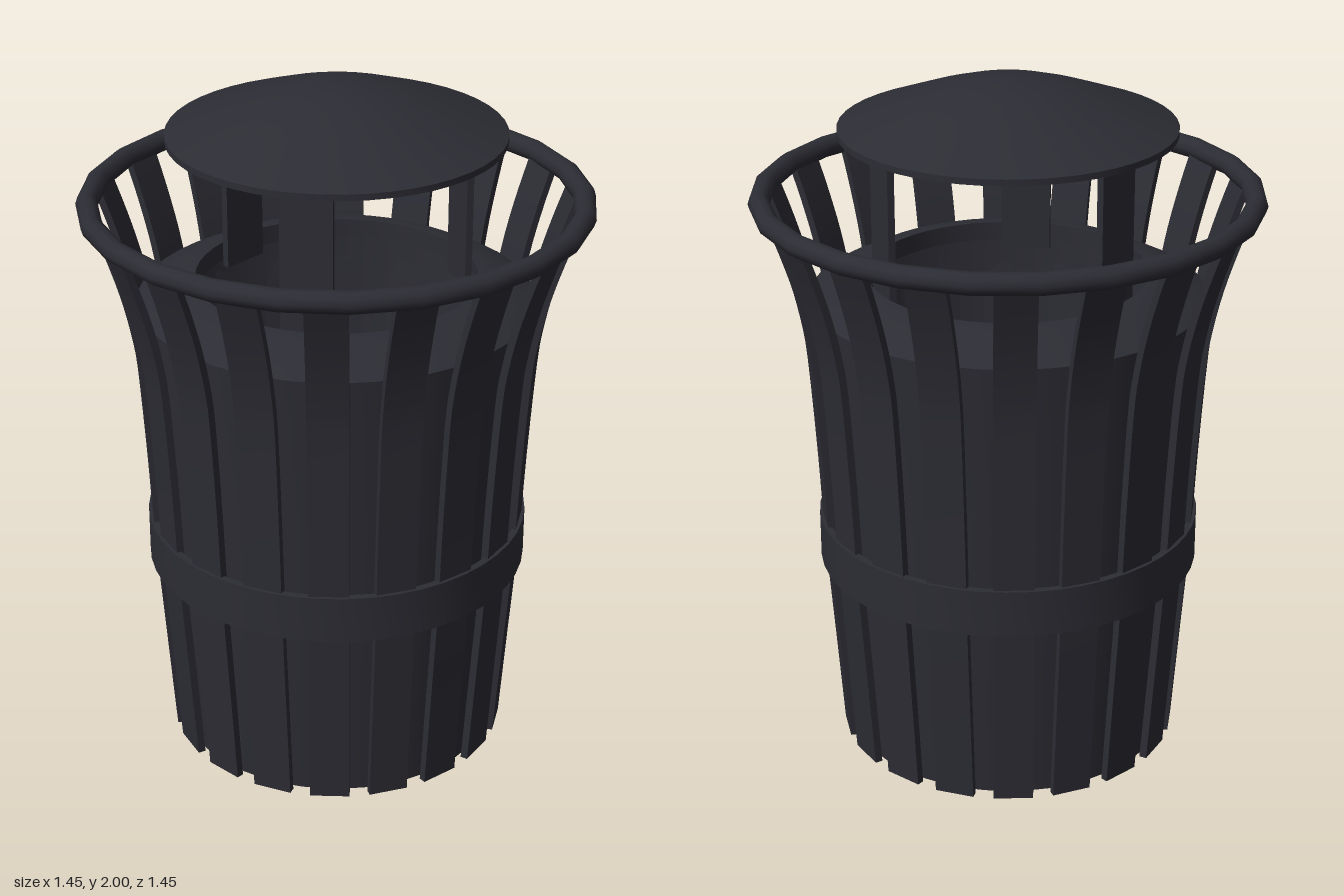
import * as THREE from 'three';
import { toCreasedNormals } from 'three/addons/utils/BufferGeometryUtils.js';

export function createModel() {
  const group = new THREE.Group();
  const metal = new THREE.MeshStandardMaterial({ color: 0x2c2c34, side: THREE.DoubleSide });
  metal.name = 'dark painted metal';

  const add = (name, geometry, parent = group) => {
    const mesh = new THREE.Mesh(geometry, metal);
    mesh.name = name;
    parent.add(mesh);
    return mesh;
  };
  const lathe = (points, segments = 48) => toCreasedNormals(
    new THREE.LatheGeometry(points.map(([r, y]) => new THREE.Vector2(r, y)), segments), 0.5);

  // Outer line of the slats: gently tapered, then flaring to the rim
  const slatCurve = new THREE.SplineCurve([
    [0.497, 0], [0.518, 0.3], [0.539, 0.6], [0.553, 0.9], [0.572, 1.2],
    [0.588, 1.32], [0.615, 1.44], [0.652, 1.56], [0.69, 1.665],
  ].map(([r, y]) => new THREE.Vector2(r, y)));
  const outer = slatCurve.getPoints(24);
  const thickness = 0.022;
  const width = 0.115;
  const inner = outer.map((p) => new THREE.Vector2(p.x - thickness, p.y)).reverse();
  const slatGeometry = toCreasedNormals(new THREE.ExtrudeGeometry(
    new THREE.Shape([...outer, ...inner]), { depth: width, bevelEnabled: false })
    .translate(0, 0, -width / 2), 0.5);

  // Eighteen vertical slats, one centred on the front
  const slats = new THREE.Group();
  slats.name = 'slats';
  group.add(slats);
  const count = 18;
  for (let i = 0; i < count; i++) {
    add('slat', slatGeometry, slats).rotation.y = Math.PI / 2 + (i / count) * Math.PI * 2;
  }

  // Rim tube and the band around the waist
  add('rimRing', new THREE.TorusGeometry(0.693, 0.031, 10, 24).rotateX(Math.PI / 2).translate(0, 1.67, 0));
  add('waistBand', lathe([
    [0.535, 0.57], [0.556, 0.57], [0.556, 0.71], [0.535, 0.71], [0.535, 0.57],
  ]));

  // Inner container with a sloped shoulder and a round opening
  add('liner', lathe([
    [0, 0.012], [0.478, 0.012], [0.499, 0.3], [0.52, 0.6], [0.534, 0.9],
    [0.553, 1.2], [0.565, 1.38], [0.45, 1.44], [0.4, 1.445], [0.4, 1.39],
  ]));

  // Three flat posts carrying the cap
  const postGeometry = new THREE.BoxGeometry(0.145, 0.49, 0.02).translate(0, 1.625, 0.37);
  const posts = new THREE.Group();
  posts.name = 'capPosts';
  group.add(posts);
  for (let i = 0; i < 3; i++) {
    add('capPost', postGeometry, posts).rotation.y = -Math.PI / 2 + (i * Math.PI * 2) / 3;
  }

  // Domed rain cap
  add('rainCap', lathe([
    [0, 1.855], [0.473, 1.855], [0.473, 1.873], [0.38, 1.908], [0.28, 1.945],
    [0.18, 1.977], [0.1, 1.994], [0.04, 2], [0, 2],
  ]));

  return group;
}
